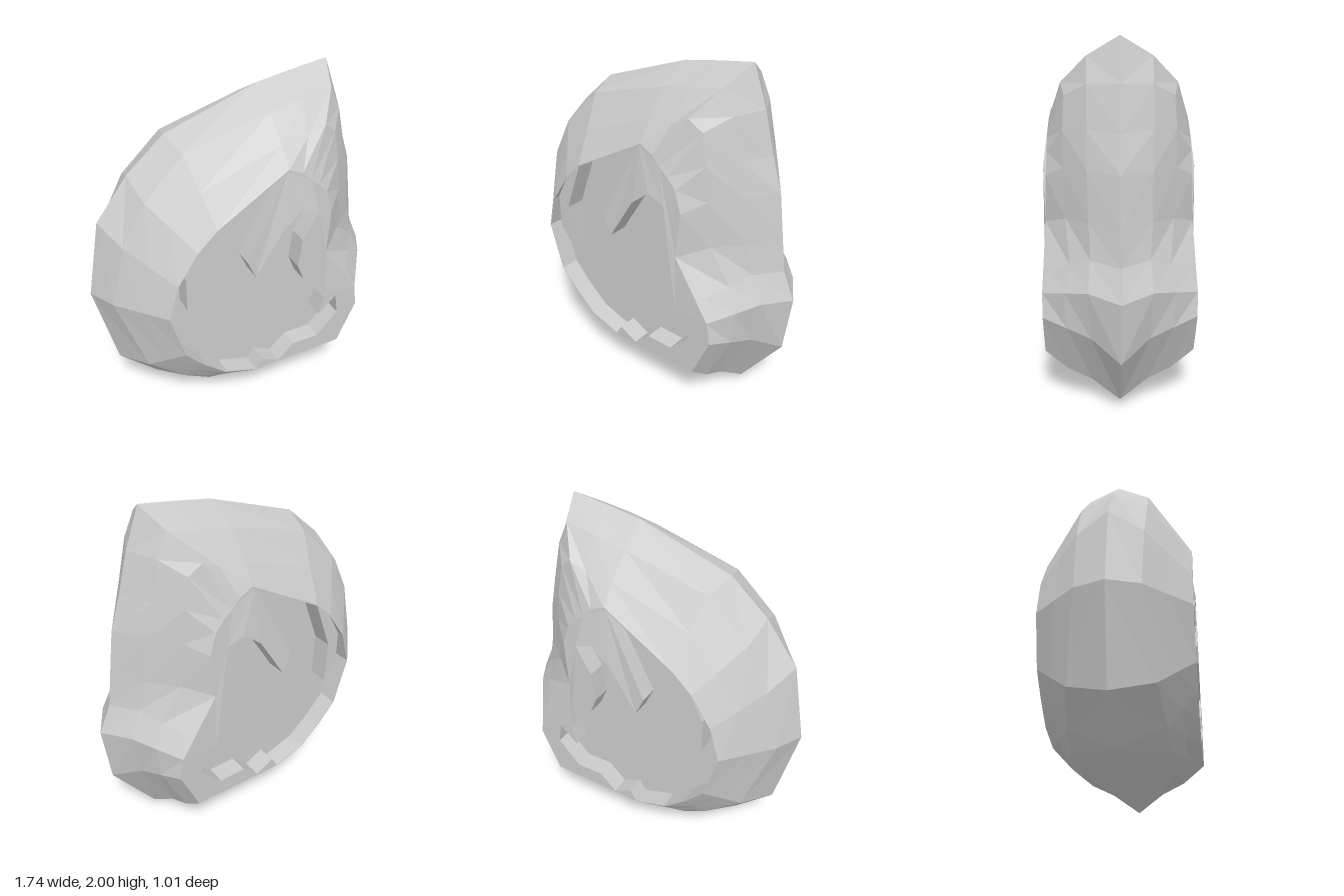
import * as THREE from 'three';

const TILT = 0.182; // the slab is turned slightly about the vertical
const FLOOR = 0.295; // depth of the recessed panel
const mat = new THREE.MeshStandardMaterial({ color: 0xcccccc, flatShading: true, side: THREE.DoubleSide });

// Front position (x, y) at distance w from the middle plane -> untilted point
const P = ([x, y, w = 0]) => [(x - w * Math.sin(TILT)) / Math.cos(TILT), y, w];

// Outline ring on the middle plane, counter-clockwise from the peak
const ridge = [[.54, 2], [.35, 1.97], [.13, 1.93], [-.4, 1.74], [-.61, 1.55], [-.79, 1.31], [-.87, .87],
  [-.75, .36], [-.53, .15], [-.29, .04], [.04, 0], [.58, .06], [.83, .41], [.87, .75], [.8, .91],
  [.775, 1.1], [.74, 1.36], [.68, 1.55], [.62, 1.78]].map(P);

// Shoulder ring
const shoulder = [[.51, 1.9, .165], [.34, 1.87, .175], [.15, 1.83, .175], [-.33, 1.69, .17], [-.55, 1.47, .18],
  [-.68, 1.23, .175], [-.76, .88, .167], [-.6, .43, .22], [-.39, .28, .25], [-.24, .2, .25], [.07, .18, .25],
  [.56, .16, .15], [.75, .5, .15], [.8, .77, .165], [.73, .92, .15], [.69, 1.1, .16], [.66, 1.36, .165],
  [.62, 1.55, .165], [.57, 1.77, .165]].map(P);

// Inner ring where the sides meet the flat face
const rim = [[.33, 1.5, .38], [.28, 1.55, .375], [.2, 1.585, .37], [-.21, 1.352, .405], [-.32, 1.245, .405],
  [-.435, 1.07, .405], [-.49, .87, .405], [-.41, .59, .405], [-.3, .47, .405], [-.17, .36, .405], [.02, .3, .405],
  [.58, .32, .405], [.69, .57, .405], [.67, .7, .405], [.62, .82, .365], [.45, 1.02, .395], [.47, 1.28, .385],
  [.43, 1.4, .38], [.38, 1.46, .38]].map(P);

// Brow ring: halfway from shoulder to rim, except where the sides bulge
const bulges = { 0: [.43, 1.76, .3], 1: [.33, 1.71, .295], 2: [.18, 1.69, .29], 11: [.57, .22, .28],
  15: [.57, 1.08, .28], 16: [.55, 1.34, .29], 17: [.53, 1.53, .29], 18: [.5, 1.7, .28] };
const brow = rim.map((p, i) => (bulges[i] ? P(bulges[i]) : p.map((v, k) => (v + shoulder[i][k]) / 2)));

// Edge of the opening, with its pointed locks
const opening = [[.19, 1.573, .37], [-.21, 1.345], [-.32, 1.05], [-.31, .8], [-.39, .9], [-.39, 1.1],
  [-.317, 1.238], [-.431, 1.07], [-.486, .87], [-.406, .592], [-.297, .474], [-.168, .364], [.021, .304],
  [.06, .37], [.17, .313], [.27, .41], [.43, .41], [.56, .55], [.54, .68], [.43, .58], [.46, .7],
  [.31, .88], [.27, .98], [.29, 1.15], [.38, 1.31], [.28, 1.34], [.17, 1.25], [.01, .99],
  [-.04, 1.1]].map(([x, y, w = 0.405]) => P([x, y, w]));

function makeMesh(name, points, index) {
  const geo = new THREE.BufferGeometry();
  geo.setAttribute('position', new THREE.Float32BufferAttribute(points.flat(), 3));
  geo.setIndex(index);
  geo.computeVertexNormals();
  const mesh = new THREE.Mesh(geo, mat);
  mesh.name = name;
  return mesh;
}

// Joins closed rings of equal length, from the outside inwards
function loft(name, rings) {
  const n = rings[0].length;
  const index = [];
  for (let r = 0; r < rings.length - 1; r++) {
    for (let i = 0; i < n; i++) {
      const a = r * n + i, b = r * n + (i + 1) % n;
      index.push(a, b, b + n, a, b + n, a + n);
    }
  }
  return makeMesh(name, rings.flat(), index);
}

// Fills an outline, optionally leaving a hole
function fill(name, outline, hole) {
  const flat = (ring) => ring.map(([u, y]) => new THREE.Vector2(u, y));
  const faces = THREE.ShapeUtils.triangulateShape(flat(outline), hole ? [flat(hole)] : []);
  return makeMesh(name, hole ? [...outline, ...hole] : outline, faces.flat());
}

function createHalf(name) {
  const half = new THREE.Group();
  half.name = name;
  const floorEdge = opening.map(([u, y]) => [u, y, FLOOR]);
  half.add(
    loft('outerShell', [ridge, shoulder, brow, rim]),
    fill('pointedLocks', rim, opening),
    loft('openingWall', [opening, floorEdge]),
    fill('recessedPanel', floorEdge),
  );
  return half;
}

export function createModel() {
  const model = new THREE.Group();
  model.name = 'facetedHood';
  const front = createHalf('frontHalf');
  const back = createHalf('backHalf');
  back.scale.z = -1; // both faces match
  const body = new THREE.Group();
  body.name = 'body';
  body.rotation.y = TILT;
  body.add(front, back);
  model.add(body);
  return model;
}
